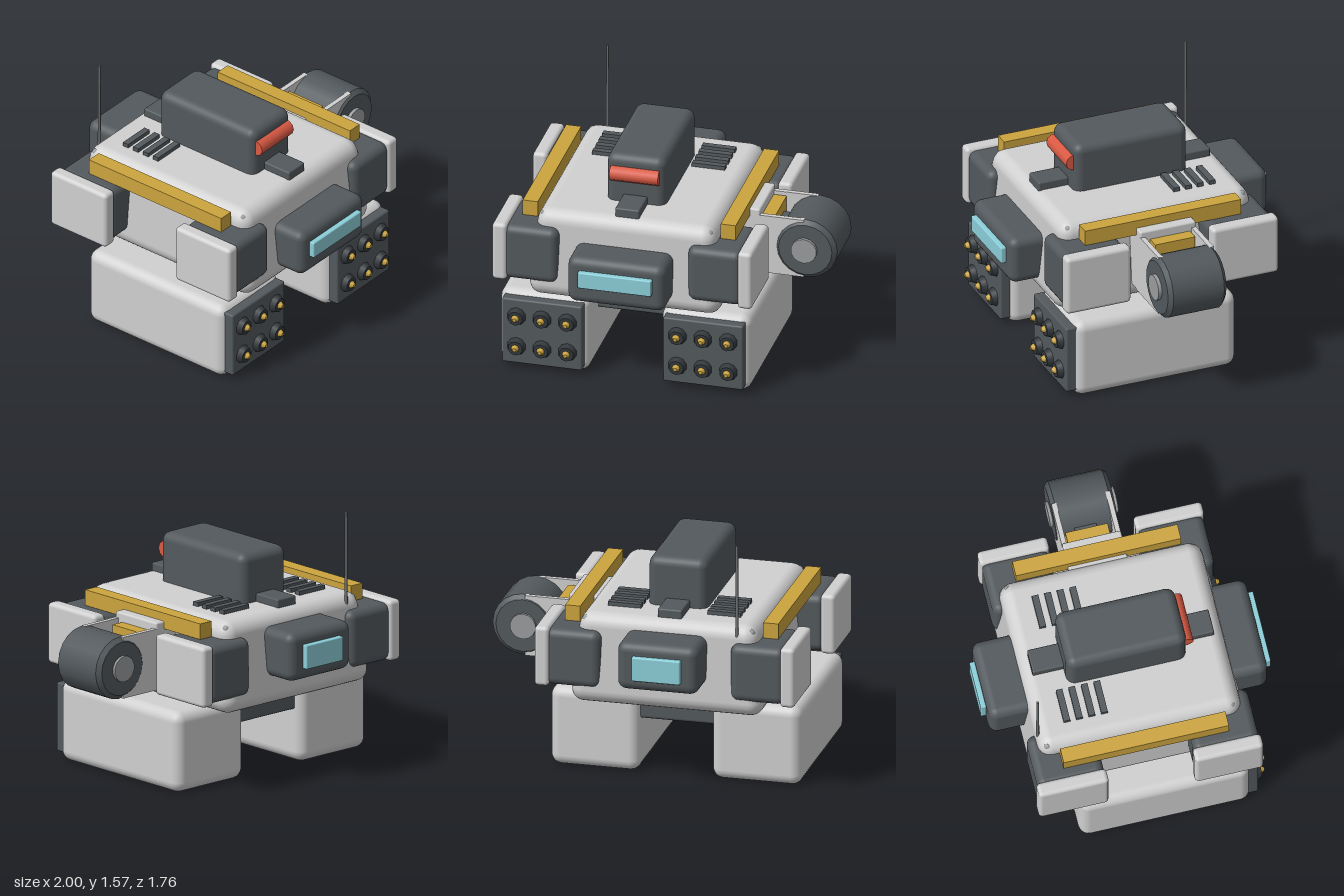
import * as THREE from 'three';
import { RoundedBoxGeometry } from 'three/addons/geometries/RoundedBoxGeometry.js';

const mat = (name, color) => {
  const m = new THREE.MeshStandardMaterial({ color });
  m.name = name;
  return m;
};

export function createModel() {
  const root = new THREE.Group();
  root.name = 'walkerTorso';
  const light = mat('lightGrey', 0xd0d0d0);
  const dark = mat('darkGrey', 0x53595d);
  const black = mat('nearBlack', 0x33383c);
  const steel = mat('steel', 0x9a9c9e);
  const rodGrey = mat('rodGrey', 0x6f7274);
  const gold = mat('gold', 0xcca43e);
  const cyan = mat('cyanGlass', 0x8ccfd9);
  const red = mat('red', 0xdb5a44);

  const add = (name, geo, material, x = 0, y = 0, z = 0) => {
    const m = new THREE.Mesh(geo, material);
    m.name = name;
    m.position.set(x, y, z);
    root.add(m);
    return m;
  };
  // Box given by its limits, with optional edge rounding
  const box = (name, material, [x0, x1], [y0, y1], [z0, z1], r = 0) => {
    const s = [x1 - x0, y1 - y0, z1 - z0];
    const geo = r ? new RoundedBoxGeometry(...s, 3, r) : new THREE.BoxGeometry(...s);
    return add(name, geo, material, (x0 + x1) / 2, (y0 + y1) / 2, (z0 + z1) / 2);
  };
  // Cylinder lying along z or x
  const rod = (name, material, axis, r0, r1, len, sides, x, y, z) => {
    const g = new THREE.CylinderGeometry(r1, r0, len, sides);
    if (axis === 'z') g.rotateX(Math.PI / 2);
    if (axis === 'x') g.rotateZ(Math.PI / 2);
    return add(name, g, material, x, y, z);
  };
  const MID = -0.2; // the hull is symmetric about this x
  const span = (s, a, b) => (s > 0 ? [MID + a, MID + b] : [MID - b, MID - a]);

  // Hull narrowing toward the top
  const hull = box('hull', light, [-0.8, 0.4], [0.5, 1.055], [-0.665, 0.68], 0.085);
  const p = hull.geometry.attributes.position;
  for (let i = 0; i < p.count; i++) {
    const k = 1 - 0.09 * (p.getY(i) / 0.555 + 0.5);
    p.setX(i, p.getX(i) * k);
    p.setZ(i, p.getZ(i) * k);
  }

  // Bridge between the lower pods
  box('podBridge', dark, [-0.5, 0.1], [0.33, 0.54], [-0.37, 0.4], 0.02);

  // Front and rear sensor housings
  box('frontHousing', dark, [-0.5, 0.105], [0.58, 0.88], [0.45, 0.85], 0.055);
  box('frontVisor', cyan, [-0.425, 0.03], [0.7, 0.805], [0.83, 0.882], 0.008);
  box('rearHousing', dark, [-0.45, 0.05], [0.68, 0.98], [-0.85, -0.45], 0.055);
  box('rearVisor', cyan, [-0.35, -0.05], [0.755, 0.905], [-0.882, -0.83], 0.008);

  // Roof cabin, spine and visor
  box('cabin', dark, [-0.38, -0.015], [0.99, 1.36], [-0.355, 0.38], 0.055);
  box('roofSpine', dark, [-0.275, -0.125], [1.03, 1.105], [-0.545, 0.57], 0.01);
  rod('cabinVisor', red, 'x', 0.05, 0.05, 0.3, 10, -0.2, 1.24, 0.375);

  for (const s of [-1, 1]) {
    // Shoulder blocks with outer armour
    for (const [z0, z1] of [[0.28, 0.7], [-0.68, -0.25]]) {
      box('shoulderBlock', dark, span(s, 0.4, 0.74), [0.6, 0.957], [z0 + 0.01, z1 - 0.01], 0.05);
      box('shoulderArmour', light, span(s, 0.713, 0.803), [0.595, 0.97], [z0, z1], 0.025);
    }
    box('roofRail', gold, span(s, 0.565, 0.658), [0.96, 1.057], [-0.495, 0.52]);

    // Roof vents
    for (let i = 0; i < 4; i++) {
      const z = -0.415 + i * 0.077;
      box('vent', dark, span(s, 0.205, 0.41), [1.04, 1.08], [z - 0.02, z + 0.02]);
    }
    // Roof corner bolts
    for (const z of [-0.56, 0.57])
      add('bolt', new THREE.SphereGeometry(0.024, 10, 8), steel, MID + s * 0.51, 1.01, z);

    // Lower launcher pods
    box('pod', light, span(s, 0.222, 0.775), [0, 0.5], [-0.42, 0.63], 0.065);
    box('podFace', dark, span(s, 0.25, 0.745), [0.04, 0.468], [0.58, 0.68], 0.012);
    for (let i = 0; i < 6; i++) {
      const x = MID + s * (0.34 + (i % 3) * 0.157);
      const y = i < 3 ? 0.355 : 0.155;
      rod('tube', black, 'z', 0.06, 0.045, 0.04, 10, x, y, 0.695);
      rod('tubeTip', gold, 'z', 0.034, 0.012, 0.04, 8, x, y, 0.718);
    }
  }

  // Antenna
  rod('antenna', rodGrey, 'y', 0.01, 0.008, 0.59, 8, -0.63, 1.275, -0.6);

  // Side drum with its bracket
  box('bracketBase', light, [0.3, 0.52], [0.59, 1.007], [-0.175, 0.187], 0.012);
  for (const z of [-0.16, 0.172])
    box('bracketArm', light, [0.45, 0.79], [0.59, 0.97], [z - 0.015, z + 0.015]);
  box('bracketBlock', gold, [0.5, 0.6], [0.66, 0.95], [-0.135, 0.125]);
  box('drumMount', dark, [0.58, 0.68], [0.7, 0.88], [-0.07, 0.065]);
  const profile = [[0, -0.19], [0.165, -0.19], [0.192, -0.165], [0.192, 0.165], [0.165, 0.19], [0, 0.19]]
    .map(([r, h]) => new THREE.Vector2(r, h));
  // repeated corner points keep the rim edges sharp
  const sharp = profile.flatMap((v) => [v, v.clone()]);
  add('drum', new THREE.LatheGeometry(sharp, 20).rotateX(Math.PI / 2), dark, 0.803, 0.78, 0.01);
  rod('drumHub', steel, 'z', 0.08, 0.08, 0.42, 14, 0.798, 0.78, 0.012);
  rod('bracketPin', steel, 'x', 0.046, 0.046, 0.3, 12, 0.435, 0.585, 0.015);

  return root;
}
